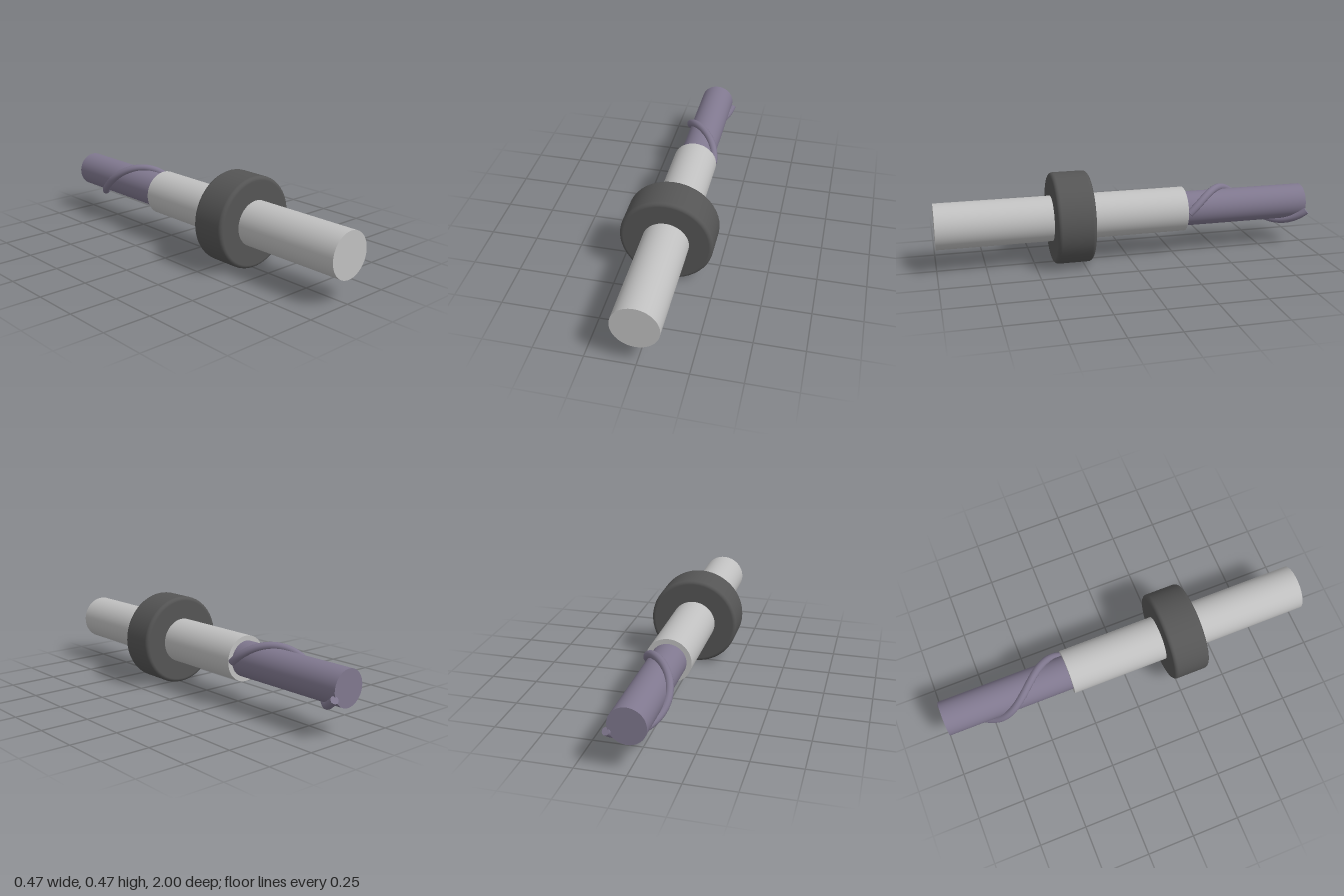
import * as THREE from 'three';

const AXIS_Y = 0.238;

const makeMaterial = (name, color) => {
  const m = new THREE.MeshStandardMaterial({ color });
  m.name = name;
  return m;
};

export function createModel() {
  const steel = makeMaterial('light steel', 0xc0c0c0);
  const darkGrey = makeMaterial('dark grey', 0x555555);
  const violetGrey = makeMaterial('violet grey', 0x80788f);

  const group = new THREE.Group();
  group.name = 'cuttingTool';

  const add = (name, geometry, material) => {
    const mesh = new THREE.Mesh(geometry, material);
    mesh.name = name;
    group.add(mesh);
  };

  // Solid round bar along z between two ends
  const bar = (radius, zBack, zFront) =>
    new THREE.CylinderGeometry(radius, radius, zFront - zBack, 64)
      .rotateX(Math.PI / 2)
      .translate(0, AXIS_Y, (zBack + zFront) / 2);

  add('shank', bar(0.118, -0.306, 1), steel);
  add('cutterCore', bar(0.092, -0.982, -0.3), violetGrey);

  // Collar: ring with rounded outer edges
  const R = 0.2375, half = 0.098, round = 0.02;
  const profile = [new THREE.Vector2(0.11, -half)];
  for (const side of [-1, 1]) {
    for (let i = 0; i <= 5; i++) {
      const a = (side < 0 ? i / 5 - 1 : i / 5) * Math.PI / 2;
      profile.push(new THREE.Vector2(
        R - round + round * Math.cos(a),
        side * (half - round) + round * Math.sin(a)));
    }
  }
  profile.push(new THREE.Vector2(0.11, half));
  add('collar',
    new THREE.LatheGeometry(profile, 48).rotateX(Math.PI / 2).translate(0, AXIS_Y, 0.307),
    darkGrey);

  // Spiral cutting edge: nearly one full turn round the core
  const points = [];
  const zStart = -0.315, zEnd = -0.985, pitch = 0.71;
  for (let i = 0; i <= 40; i++) {
    const z = zStart + (zEnd - zStart) * i / 40;
    const a = (zStart - z) / pitch * Math.PI * 2;
    points.push(new THREE.Vector3(0.101 * Math.cos(a), AXIS_Y + 0.101 * Math.sin(a), z));
  }
  const spiral = new THREE.CatmullRomCurve3(points);
  add('spiralEdge', new THREE.TubeGeometry(spiral, 80, 0.02, 12), violetGrey);

  // Small caps closing both ends of the spiral
  for (const t of [0, 1]) {
    const dir = spiral.getTangentAt(t).multiplyScalar(t ? 1 : -1);
    const cap = new THREE.CircleGeometry(0.02, 12);
    cap.applyQuaternion(new THREE.Quaternion().setFromUnitVectors(new THREE.Vector3(0, 0, 1), dir));
    const p = spiral.getPointAt(t);
    add(t ? 'spiralTipCap' : 'spiralRootCap', cap.translate(p.x, p.y, p.z), violetGrey);
  }

  return group;
}
